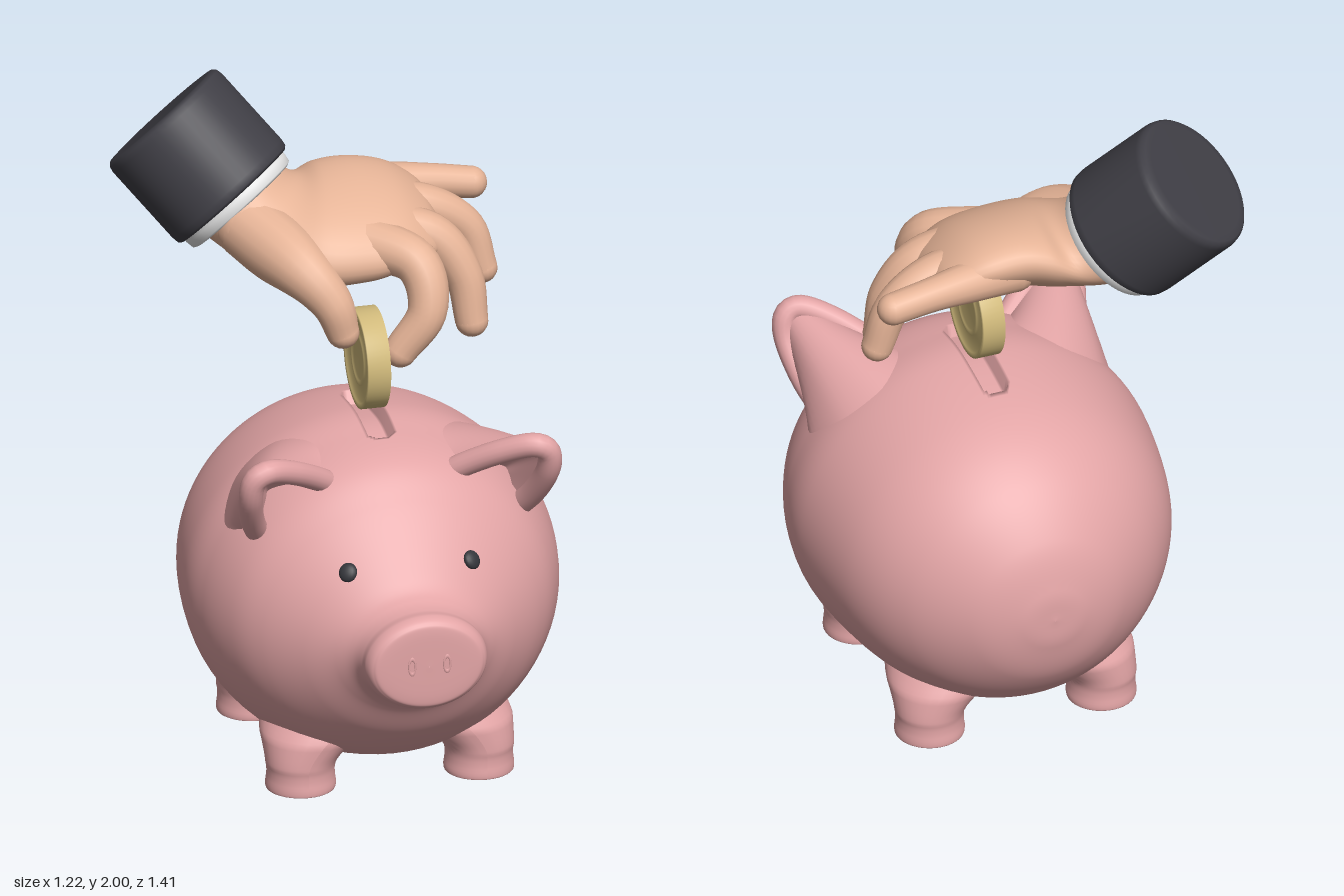
import * as THREE from 'three';

const V = (x, y, z) => new THREE.Vector3(x, y, z);
const CX = 0.055; // middle of the pig
const mat = (name, color, side = THREE.FrontSide) => {
  const m = new THREE.MeshStandardMaterial({ color, side });
  m.name = name;
  return m;
};
const spline = (pts) => new THREE.CatmullRomCurve3(pts, false, 'catmullrom', 0.5);

// Smooth surface from a rule fn(u, v); closed wraps around in v
function grid(nu, nv, fn, closed) {
  const pos = [], idx = [], cols = closed ? nv : nv + 1;
  for (let i = 0; i <= nu; i++)
    for (let j = 0; j < cols; j++) pos.push(...fn(i / nu, j / nv).toArray());
  for (let i = 0; i < nu; i++)
    for (let j = 0; j < nv; j++) {
      const k = (j + 1) % cols;
      const a = i * cols + j, b = a + cols, c = i * cols + k, d = c + cols;
      idx.push(a, b, c, b, d, c);
    }
  const g = new THREE.BufferGeometry();
  g.setAttribute('position', new THREE.Float32BufferAttribute(pos, 3));
  g.setIndex(idx);
  g.computeVertexNormals();
  return g;
}

// Loft through elliptical sections [centre, side vector, up vector]
function loft(sections, nu, nv, bunch = 0, warp = (p) => p) {
  const [c, a, b] = [0, 1, 2].map((k) => spline(sections.map((s) => s[k])));
  return grid(nu, nv, (u, v) => {
    const t = v * Math.PI * 2, th = t - bunch * Math.sin(t);
    return warp(c.getPoint(u)
      .addScaledVector(a.getPoint(u), Math.sin(th))
      .addScaledVector(b.getPoint(u), Math.cos(th)));
  }, true);
}

// Tapered tube whose radii follow the points of its path
function finger(pts, radii) {
  const curve = spline(pts.map((p) => V(...p)));
  const n = 24, m = 16, g = new THREE.TubeGeometry(curve, n, 1, m);
  const rad = spline(radii.map((r) => V(r, 0, 0)));
  const pos = g.attributes.position, p = V(0, 0, 0);
  for (let i = 0; i <= n; i++) {
    const c = curve.getPointAt(i / n), r = rad.getPoint(i / n).x;
    for (let j = 0; j <= m; j++) {
      const k = i * (m + 1) + j;
      p.fromBufferAttribute(pos, k).sub(c).multiplyScalar(r).add(c);
      pos.setXYZ(k, p.x, p.y, p.z);
    }
  }
  return g;
}

export function createModel() {
  const model = new THREE.Group();
  const pink = mat('pink', 0xe3a5a6, THREE.DoubleSide);
  const skin = mat('skin', 0xe6b497);
  const gold = mat('gold', 0xd2bb7c);
  const charcoal = mat('charcoal', 0x403f46);
  const white = mat('white', 0xe8e8e8);
  const eyeBlack = mat('eye black', 0x34353a);
  const add = (name, geo, material, parent = model) => {
    const m = new THREE.Mesh(geo, material);
    m.name = name;
    parent.add(m);
    return m;
  };

  // Body and snout: [z, centre y, half width, half height]
  const rings = [
    [-0.685, 0.535, 0.001, 0.001], [-0.676, 0.535, 0.105, 0.1], [-0.626, 0.538, 0.243, 0.24],
    [-0.5, 0.545, 0.4, 0.385], [-0.32, 0.553, 0.505, 0.475], [-0.05, 0.56, 0.555, 0.52],
    [0.12, 0.557, 0.54, 0.508], [0.26, 0.56, 0.49, 0.465], [0.36, 0.548, 0.422, 0.395],
    [0.46, 0.54, 0.322, 0.292], [0.53, 0.547, 0.242, 0.2], [0.575, 0.555, 0.202, 0.162],
    [0.62, 0.557, 0.186, 0.149], [0.66, 0.56, 0.184, 0.147], [0.688, 0.56, 0.169, 0.134],
    [0.698, 0.56, 0.135, 0.105], [0.7, 0.56, 0.001, 0.001],
  ];
  const slot = (p) => { // coin slot sunk into the back
    const dz = p.z - THREE.MathUtils.clamp(p.z, -0.18, 0.11);
    if (p.y > 0.9 && Math.hypot(p.x - CX, dz) < 0.037) p.y -= 0.04;
    return p;
  };
  add('body', loft(rings.map(([z, y, w, h]) => [V(CX, y, z), V(w, 0, 0), V(0, h, 0)]),
    300, 128, 0.7, slot), pink);

  // Legs: flared towards the middle of the belly
  for (const sx of [-1, 1])
    for (const [z, sz] of [[0.225, 1], [-0.355, -1]]) {
      const profile = [[0, 0.008], [0.09, 0.008], [0.104, 0.016], [0.101, 0.05], [0.102, 0.08],
        [0.112, 0.11], [0.135, 0.145], [0.17, 0.19], [0.2, 0.25], [0.2, 0.34]];
      const g = new THREE.LatheGeometry(spline(profile.map(([x, y]) => V(x, y, 0))).getPoints(36), 36);
      const p = g.attributes.position;
      for (let i = 0; i < p.count; i++) {
        const x = p.getX(i), y = p.getY(i), pz = p.getZ(i);
        const lean = Math.max(0, Math.hypot(x, pz) - 0.104) * 0.9 + Math.max(0, y - 0.17) * 0.4;
        p.setX(i, x - sx * lean);
        p.setZ(i, pz - sz * lean);
      }
      g.computeVertexNormals();
      add('leg', g, pink).position.set(CX + sx * 0.27, 0, z);
    }

  for (const s of [-1, 1]) {
    // Ear: back shell, rolled rim and hollow
    const side = (pts) => spline(pts.map(([x, y, z]) => V(CX + s * x, y, z)));
    const base = side([[0.46, 0.76, 0.15], [0.47, 0.795, 0.06], [0.4, 0.905, -0.03],
      [0.28, 0.995, -0.05], [0.17, 1.03, 0.02], [0.12, 1.02, 0.15]]);
    const rim = side([[0.38, 0.8, 0.18], [0.425, 0.89, 0.265], [0.45, 0.99, 0.34], [0.445, 1.06, 0.365],
      [0.4, 1.084, 0.362], [0.32, 1.055, 0.318], [0.23, 1.0, 0.255], [0.15, 0.94, 0.2]]);
    const hollow = side([[0.39, 0.8, 0.2], [0.37, 0.92, 0.2], [0.34, 0.95, 0.18], [0.2, 0.97, 0.2]]);
    const ear = new THREE.Group();
    ear.name = s > 0 ? 'leftEar' : 'rightEar';
    model.add(ear);
    const sheet = (from, lift) => grid(28, 12, (u, v) => {
      const a = from.getPoint(u), b = rim.getPoint(u);
      const mid = a.clone().lerp(b, 0.5).add(V(s * lift * 0.4, lift, 0));
      return new THREE.QuadraticBezierCurve3(a, mid, b).getPoint(v);
    }, false);
    add('earBack', sheet(base, 0.022), pink, ear);
    add('earHollow', sheet(hollow, 0.01), pink, ear);
    add('earRim', new THREE.TubeGeometry(rim, 48, 0.036, 16), pink, ear);

    // Eye and nostril
    const eye = add('eye', new THREE.SphereGeometry(0.029, 20, 14), eyeBlack);
    eye.scale.set(0.95, 1, 0.5);
    eye.position.set(CX + s * 0.1875, 0.783, 0.465);
    eye.lookAt(CX + s * 0.6, 1.3, 1.15);
    const nostril = add('nostril', new THREE.TorusGeometry(0.01, 0.003, 8, 24), pink);
    nostril.scale.y = 2.4;
    nostril.position.set(CX + s * 0.053, 0.565, 0.699);
  }

  // Coin: raised rim and plain ring relief on both faces
  const coin = new THREE.Group();
  coin.name = 'coin';
  const half = [[0, 0.024], [0.065, 0.024], [0.067, 0.03], [0.082, 0.03], [0.084, 0.024],
    [0.132, 0.024], [0.134, 0.034], [0.151, 0.034]];
  const outline = [...half.map(([r, y]) => [r, -y]), ...half.slice().reverse()];
  const coinGeo = new THREE.LatheGeometry(outline.map(([r, y]) => new THREE.Vector2(r, y)), 56);
  add('coinDisc', coinGeo, gold, coin);
  coin.rotation.z = Math.PI / 2;
  coin.position.set(0.054, 1.24, -0.035);
  model.add(coin);

  // Sleeve and shirt cuff along the forearm
  const wrist = V(-0.262, 1.643, -0.385), arm = V(-0.187, 0.222, -0.13);
  const len = arm.length();
  const turn = new THREE.Quaternion().setFromUnitVectors(V(0, 1, 0), arm.clone().normalize());
  const tube = (name, pts, material) => {
    const m = add(name, new THREE.LatheGeometry(pts.map(([r, y]) => new THREE.Vector2(r, y)), 48), material);
    m.position.copy(wrist);
    m.quaternion.copy(turn);
  };
  tube('sleeve', [[0, 0], [0.204, 0], [0.213, 0.008], [0.216, 0.03], [0.216, len - 0.03], [0.212, len - 0.012],
    [0.202, len - 0.002], [0.18, len], [0, len]], charcoal);
  tube('shirtCuff', [[0, -0.04], [0.178, -0.04], [0.19, -0.034], [0.194, -0.01], [0.194, 0.03]], white);

  // Hand: palm, then fingers and thumb pinching the coin
  const hand = new THREE.Group();
  hand.name = 'hand';
  model.add(hand);
  add('palm', loft([
    [V(-0.285, 1.67, -0.395), V(0.04, -0.047, -0.148), V(0.115, 0.1, 0)],
    [V(-0.18, 1.6, -0.325), V(0.06, 0, -0.185), V(0.085, 0.105, 0)],
    [V(-0.06, 1.585, -0.265), V(0.04, 0.06, -0.235), V(0.04, 0.12, 0.02)],
    [V(0.07, 1.59, -0.25), V(0, 0.075, -0.235), V(0.03, 0.11, 0.02)],
    [V(0.18, 1.59, -0.255), V(0, 0.065, -0.22), V(0.02, 0.09, 0.015)],
    [V(0.27, 1.575, -0.27), V(0, 0.05, -0.18), V(0.01, 0.06, 0.01)],
    [V(0.315, 1.565, -0.28), V(0, 0.03, -0.12), V(0, 0.03, 0)],
    [V(0.325, 1.56, -0.28), V(0, 0, -0.001), V(0, 0.001, 0)],
  ], 56, 40), skin, hand);
  const digits = {
    littleFinger: [[[0.08, 1.61, -0.4], [0.2, 1.615, -0.42], [0.34, 1.605, -0.432], [0.47, 1.585, -0.435]],
      [0.07, 0.064, 0.052, 0.048]],
    ringFinger: [[[0.12, 1.595, -0.32], [0.29, 1.585, -0.31], [0.42, 1.505, -0.31], [0.468, 1.37, -0.3]],
      [0.075, 0.066, 0.056, 0.047]],
    middleFinger: [[[0.1, 1.585, -0.2], [0.28, 1.55, -0.17], [0.37, 1.43, -0.14], [0.392, 1.285, -0.12]],
      [0.08, 0.068, 0.058, 0.049]],
    indexFinger: [[[0.06, 1.57, -0.14], [0.2, 1.53, -0.03], [0.22, 1.4, 0.03], [0.14, 1.275, 0.02]],
      [0.08, 0.07, 0.06, 0.05]],
    thumb: [[[-0.25, 1.6, -0.26], [-0.14, 1.53, -0.075], [-0.06, 1.435, -0.015], [-0.025, 1.337, -0.015]],
      [0.1, 0.1, 0.07, 0.049]],
  };
  for (const [name, [pts, radii]] of Object.entries(digits)) {
    add(name, finger(pts, radii), skin, hand);
    const ends = [[pts[0], radii[0]], [pts[3], radii[3]]];
    for (const [p, r] of ends)
      add(name + 'End', new THREE.SphereGeometry(r, 18, 14), skin, hand).position.set(...p);
  }
  return model;
}
